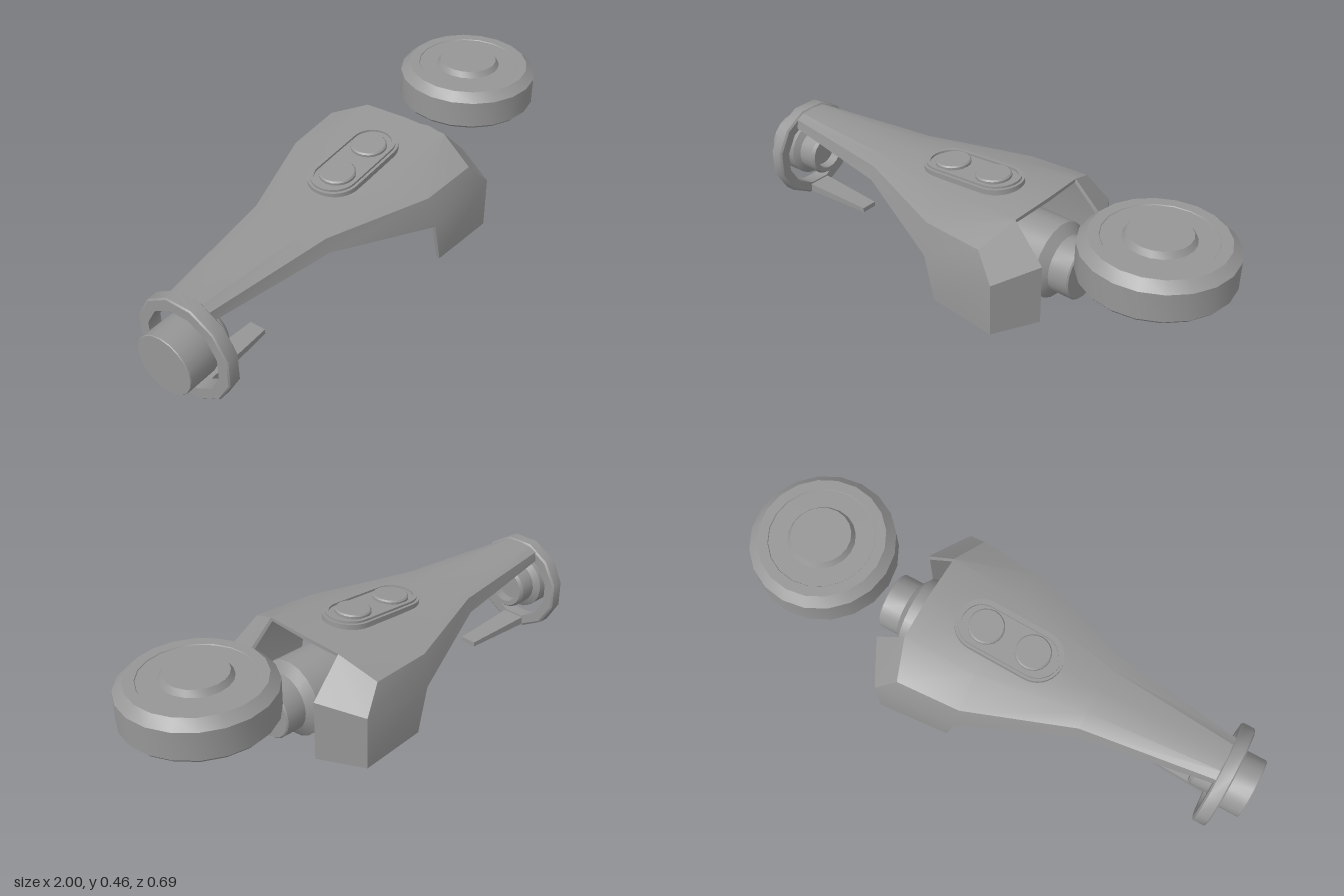
import * as THREE from 'three';
import { toCreasedNormals } from 'three/addons/utils/BufferGeometryUtils.js';

const material = new THREE.MeshStandardMaterial({ color: 0x969696 });

function addMesh(group, name, geometry, crease = 0.45) {
  const mesh = new THREE.Mesh(toCreasedNormals(geometry, crease), material);
  mesh.name = name;
  group.add(mesh);
  return mesh;
}

// Lathe of [radius, height] points, standing on y
function lathe(points, sides = 20, start = 0) {
  return new THREE.LatheGeometry(points.map(([r, h]) => new THREE.Vector2(r, h)), sides, start);
}

// Lathe laid along the x axis at a given height
function latheX(points, y, sides, start) {
  return lathe(points, sides, start).rotateZ(-Math.PI / 2).translate(0, y, 0);
}

// Gives a sheet of quads a wall thickness, closing its open edges
function solidify(points, quads, thickness) {
  const n = points.length;
  const index = quads.flatMap(([a, b, c, d]) => [a, b, c, a, c, d]);
  const sheet = new THREE.BufferGeometry();
  sheet.setAttribute('position', new THREE.Float32BufferAttribute(points.flat(), 3));
  sheet.setIndex(index);
  sheet.computeVertexNormals();
  const normal = sheet.attributes.normal;
  const inner = points.map(([x, y, z], i) => [
    x - normal.getX(i) * thickness, y - normal.getY(i) * thickness, z - normal.getZ(i) * thickness]);

  const faces = [...index];
  quads.forEach(([a, b, c, d]) => faces.push(a + n, c + n, b + n, a + n, d + n, c + n));
  const edges = quads.flatMap((q) => q.map((a, i) => [a, q[(i + 1) % 4]]));
  const used = new Set(edges.map((e) => e.join()));
  edges.filter(([a, b]) => !used.has([b, a].join()))
    .forEach(([a, b]) => faces.push(a, a + n, b + n, a, b + n, b));

  const solid = new THREE.BufferGeometry();
  solid.setAttribute('position', new THREE.Float32BufferAttribute([...points, ...inner].flat(), 3));
  solid.setIndex(faces);
  return solid;
}

// Arched cover that widens forward into two wrapped side skirts
function coverGeometry() {
  // Half sections from hip to crest, as [x, y, z]
  const stations = [
    [[-0.88, 0.315, 0.085], [-0.88, 0.35, 0.08], [-0.88, 0.366, 0.05], [-0.88, 0.37, 0]],
    [[-0.38, 0.3, 0.165], [-0.38, 0.352, 0.15], [-0.38, 0.366, 0.09], [-0.38, 0.371, 0]],
    [[0.02, 0.225, 0.32], [0.01, 0.342, 0.292], [0.02, 0.385, 0.165], [0.02, 0.391, 0]],
    [[0.33, 0.255, 0.343], [0.25, 0.345, 0.308], [0.295, 0.41, 0.17], [0.3, 0.413, 0]],
  ];
  const mirror = ([x, y, z]) => [x, y, -z];
  const points = stations.flatMap((s) => [...s, ...s.slice(0, 3).reverse().map(mirror)]);
  const quads = [];
  for (let i = 0; i < 3; i++) {
    for (let j = 0; j < 6; j++) {
      const a = i * 7 + j;
      quads.push([a, a + 7, a + 8, a + 1]);
    }
  }
  // Skirt corners: rear foot, outer foot, front foot, front top
  const skirt = [[0.06, 0.055, 0.32], [0.33, 0.055, 0.343], [0.418, 0.055, 0.182], [0.418, 0.282, 0.182]];
  for (const side of [1, -1]) {
    const e = points.length;
    points.push(...(side > 0 ? skirt : skirt.map(mirror)));
    const at = (i, j) => i * 7 + (side > 0 ? j : 6 - j);
    const faces = [
      [e, e + 1, at(3, 0), at(2, 0)],
      [e + 1, e + 2, e + 3, at(3, 0)],
      [at(3, 1), at(3, 0), e + 3, at(3, 2)],
    ];
    faces.forEach((f) => quads.push(side > 0 ? f : f.reverse()));
  }
  return solidify(points, quads, 0.014);
}

// Flat stadium outline centred on the origin
function stadium(halfLength, radius, Type = THREE.Shape) {
  const shape = new Type();
  const c = halfLength - radius;
  shape.absarc(c, 0, radius, -Math.PI / 2, Math.PI / 2, false);
  shape.absarc(-c, 0, radius, Math.PI / 2, Math.PI * 1.5, false);
  shape.closePath();
  return shape;
}

function slab(shape, depth) {
  return new THREE.ExtrudeGeometry(shape, { depth, curveSegments: 10, bevelEnabled: false })
    .rotateX(-Math.PI / 2);
}

// Raised panel with two round buttons, tilted with the cover
function controlPanel() {
  const panel = new THREE.Group();
  panel.name = 'controlPanel';
  const rim = stadium(0.195, 0.085);
  rim.holes.push(stadium(0.182, 0.072, THREE.Path));
  addMesh(panel, 'panelSkirt', slab(stadium(0.205, 0.095), 0.02));
  addMesh(panel, 'panelRim', slab(rim, 0.028));
  for (const x of [-0.094, 0.092]) {
    const button = addMesh(panel, 'button', lathe([[0.065, 0], [0.065, 0.029], [0.06, 0.034], [0, 0.034]]));
    button.position.x = x;
  }
  panel.position.set(-0.025, 0.386, 0);
  panel.rotation.z = 0.075;
  return panel;
}

export function createModel() {
  const model = new THREE.Group();
  model.name = 'device';

  addMesh(model, 'cover', coverGeometry(), 0.4);
  model.add(controlPanel());

  // Front barrel with a wide chamfered collar
  addMesh(model, 'frontBarrel', latheX([
    [0, 0.035], [0.09, 0.035], [0.1, 0.05], [0.1, 0.13], [0.143, 0.19], [0.143, 0.36],
    [0.106, 0.388], [0.106, 0.464], [0.101, 0.469], [0, 0.469],
  ], 0.187, 20));

  // Rear barrel, recessed on its inner end
  addMesh(model, 'rearBarrel', latheX([
    [0, -1], [0.109, -1], [0.111, -0.997], [0.111, -0.88], [0.086, -0.865],
    [0.086, -0.802], [0.078, -0.79], [0.06, -0.79], [0.06, -0.83], [0, -0.83],
  ], 0.189, 20));

  // Twelve-sided ring around the rear barrel
  addMesh(model, 'rearRing', latheX([
    [0.149, -0.916], [0.188, -0.916], [0.193, -0.911], [0.193, -0.869],
    [0.185, -0.863], [0.149, -0.863], [0.149, -0.916],
  ], 0.187, 12, Math.PI / 12), 0.55);

  // Tongue reaching forward from the ring, tapered to its tip
  const tongue = new THREE.BoxGeometry(0.315, 0.03, 0.09);
  const p = tongue.attributes.position;
  for (let i = 0; i < p.count; i++) {
    const tip = p.getX(i) > 0;
    const top = p.getY(i) > 0;
    p.setXYZ(i, tip ? -0.575 : -0.89, tip ? (top ? 0.03 : 0.011) : (top ? 0.038 : 0.005),
      Math.sign(p.getZ(i)) * (tip ? 0.032 : 0.046));
  }
  addMesh(model, 'tongue', tongue);

  // Separate round puck with a shallow step and a raised centre
  const puck = addMesh(model, 'puck', lathe([
    [0, 0.303], [0.252, 0.303], [0.263, 0.315], [0.263, 0.416], [0.23, 0.447],
    [0.192, 0.447], [0.19, 0.444], [0.121, 0.444], [0.108, 0.465], [0, 0.465],
  ]));
  puck.position.x = 0.737;

  return model;
}
